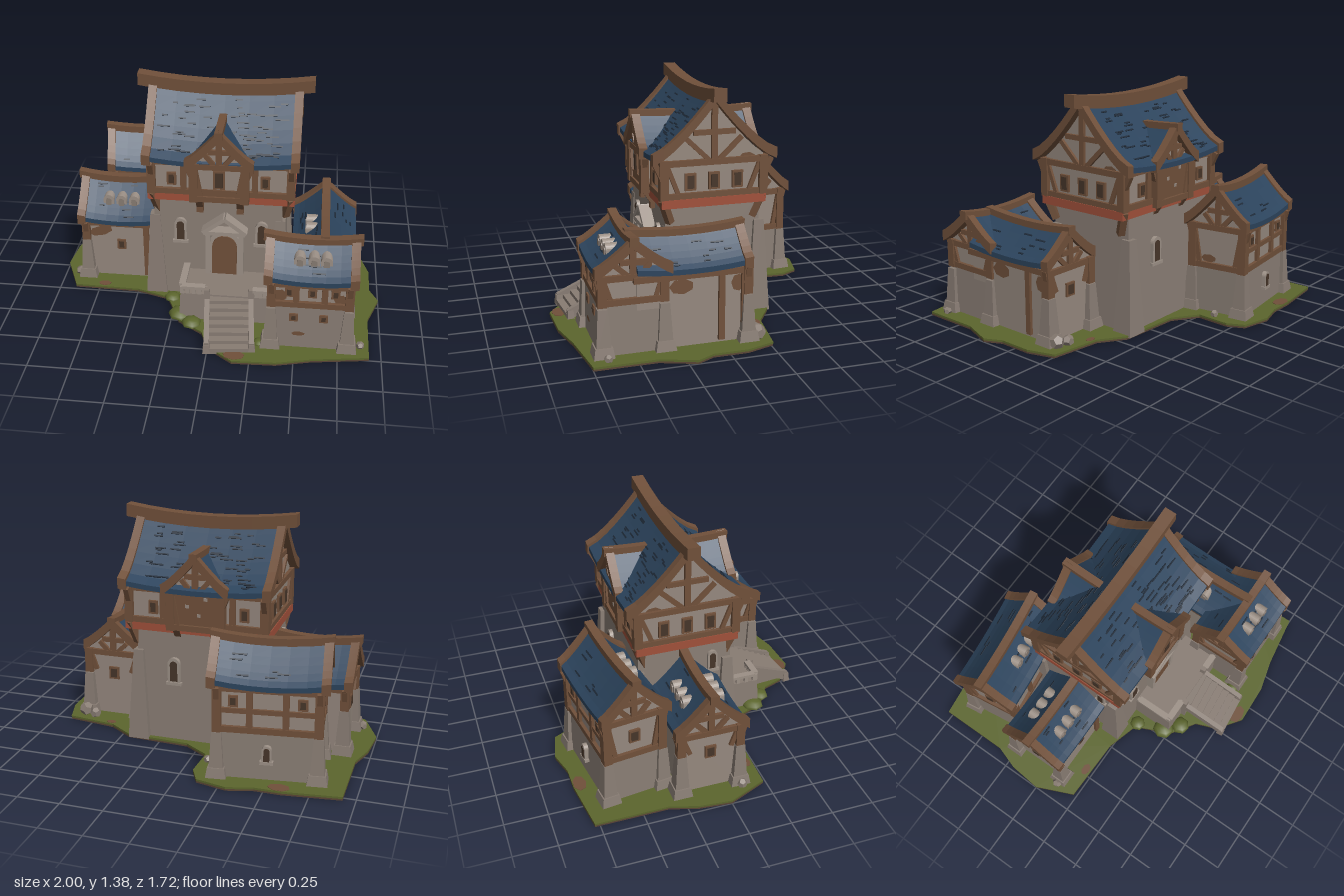
import * as THREE from 'three';

const mat = (name, color) => Object.assign(new THREE.MeshStandardMaterial({ color }), { name });
const M = {
  plaster: mat('plaster', 0x95887e), stone: mat('stone', 0x887c73), pale: mat('pale stone', 0x9c9086),
  roof: mat('blue slate', 0x2c445d), slate: mat('dark slate', 0x1e2a38), wood: mat('timber', 0x70503a),
  dark: mat('dark opening', 0x463529), red: mat('red band', 0xa0503a), grass: mat('grass', 0x5c662d),
  soil: mat('soil', 0x5a4536),
};
let seed = 7;
const rnd = () => (seed = (seed * 16807) % 2147483647) / 2147483647;

function add(parent, name, geo, material, x = 0, y = 0, z = 0) {
  const m = new THREE.Mesh(geo, material);
  m.name = name;
  m.position.set(x, y, z);
  parent.add(m);
  return m;
}
const box = (p, name, m, w, h, d, x, y, z) => add(p, name, new THREE.BoxGeometry(w, h, d), m, x, y, z);

// Straight timber between two points
function beam(p, name, m, a, b, w, h = w) {
  const A = new THREE.Vector3(...a), B = new THREE.Vector3(...b);
  const mesh = add(p, name, new THREE.BoxGeometry(w, h, A.distanceTo(B)), m);
  mesh.position.copy(A).add(B).multiplyScalar(0.5);
  mesh.quaternion.setFromRotationMatrix(new THREE.Matrix4().lookAt(B, A, new THREE.Vector3(0, 1, 0)));
}
// Box whose vertices are moved by a rule, kept flat shaded
function bent(w, h, d, segs, rule) {
  const g = new THREE.BoxGeometry(w, h, d, ...segs).toNonIndexed();
  const p = g.attributes.position;
  for (let i = 0; i < p.count; i++) p.setXYZ(i, ...rule(p.getX(i), p.getY(i), p.getZ(i)));
  g.computeVertexNormals();
  return g;
}
// Battered block: narrower at the top
const batter = (p, name, m, w, h, d, x, y, z, inset) => add(p, name, bent(w, h, d, [1, 1, 1], (a, b, c) => {
  const k = inset * (b / h + 0.5);
  return [a - Math.sign(a) * k, b, c - Math.sign(c) * k];
}), m, x, y + h / 2, z);

function archGeo(w, h, d) {
  const s = new THREE.Shape(), r = w / 2;
  s.moveTo(-r, 0); s.lineTo(r, 0); s.lineTo(r, h - r);
  s.absarc(0, h - r, r, 0, Math.PI, false);
  s.lineTo(-r, 0);
  return new THREE.ExtrudeGeometry(s, { depth: d, bevelEnabled: false, curveSegments: 6 });
}
// Square window facing local +z
function win(p, x, y, z, rot = 0, w = 0.055, h = 0.075) {
  const g = new THREE.Group();
  g.name = 'window';
  g.position.set(x, y, z);
  g.rotation.y = rot;
  box(g, 'windowFrame', M.wood, w + 0.02, h + 0.02, 0.02, 0, 0, 0);
  box(g, 'windowPane', M.dark, w - 0.005, h - 0.005, 0.006, 0, 0, 0.011);
  p.add(g);
}
// Arched window facing local +z, from its sill
function archWin(p, x, y, z, rot = 0, w = 0.075, h = 0.16) {
  const g = new THREE.Group();
  g.name = 'archedWindow';
  g.position.set(x, y, z);
  g.rotation.y = rot;
  add(g, 'archFrame', archGeo(w, h, 0.03), M.pale, 0, 0, -0.015);
  add(g, 'archPane', archGeo(w * 0.6, h * 0.78, 0.006), M.dark, 0, h * 0.1, 0.012);
  box(g, 'archSill', M.pale, w + 0.02, 0.018, 0.04, 0, 0, 0);
  p.add(g);
}
// Patch where the plaster has fallen away
function bare(p, x, y, z, rot, sx, sy, tilt = 0) {
  const m = add(p, 'barePlaster', new THREE.CircleGeometry(1, 7).rotateZ(0.4).scale(sx, sy, 1).rotateZ(tilt), M.wood, x, y, z);
  m.rotation.y = rot;
}

// Gabled timber house: ridge along local x, centred on z = 0
function wing(root, o) {
  const g = new THREE.Group();
  g.name = o.name;
  g.position.set(o.x, 0, o.z);
  g.rotation.y = o.rot || 0;
  root.add(g);
  const { len, half, eave, ridge, base, wl, wh, ends = [-1, 1] } = o;
  const prof = t => eave + (ridge - eave) * Math.pow(Math.max(0, 1 - t), o.curve || 1.2);
  const sag = x => (o.sag || 0.02) * Math.pow(2 * x / len, 2);
  const slab = (w, t, cx, lift, ext) => bent(w, t, 2, [6, 1, 12], (x, y, z) =>
    [x + cx, y + lift + prof(Math.abs(z)) + sag(x + cx), z * half * ext]);

  // Walls with gables following the roof curve
  const s = new THREE.Shape();
  s.moveTo(-wh, base); s.lineTo(wh, base);
  for (let i = 6; i >= -6; i--) s.lineTo(wh * i / 6, prof(Math.abs(wh * i / 6 / half)));
  s.lineTo(-wh, base);
  const body = new THREE.ExtrudeGeometry(s, { depth: wl, bevelEnabled: false });
  body.translate(0, 0, -wl / 2).rotateY(Math.PI / 2);
  add(g, 'walls', body, M.plaster);

  // Roof, bargeboards and sagging ridge beam
  add(g, 'roof', slab(len, 0.03, 0, 0.008, 1), M.roof);
  for (const k of ends) add(g, 'bargeboard', slab(0.05, 0.065, k * len / 2, 0.004, 1.03), M.wood);
  const rl = o.ridgeLen || len + 0.08, rb = o.ridgeBeam || 0.05;
  add(g, 'ridgeBeam', bent(rl, rb, rb, [8, 1, 1], (x, y, z) => [x, y + ridge + 0.012 + sag(x), z]), M.wood);

  // Loose slates on both slopes
  for (let i = 0; i < (o.slates || 0); i++) {
    const t = 0.15 + 0.75 * rnd(), k = i % 2 ? 1 : -1, x = (rnd() - 0.5) * (len - 0.16);
    const m = box(g, 'slate', M.slate, 0.03 + 0.05 * rnd(), 0.008, 0.009, x, prof(t) + sag(x) + 0.024, k * t * half);
    m.rotation.x = k * Math.atan2(prof(t - 0.05) - prof(t + 0.05), 0.1 * half);
  }

  // Half timbering
  const top = prof(wh / half) - 0.03, e = 0.035;
  const framed = o.stoneTop || base > 0.1, mid = o.stoneTop || (framed ? base + 0.02 : top - 0.12);
  const foot = framed ? mid : 0.04;
  for (const k of [-1, 1]) {
    const z = k * (wh + 0.003);
    box(g, 'eaveRail', M.wood, wl + 0.04, e, e, 0, top, z);
    if (framed) box(g, 'lowerRail', M.wood, wl + 0.04, e, e, 0, mid, z);
    for (const x of o.posts || []) box(g, 'wallPost', M.wood, e, top - foot, 0.03, x, (top + foot) / 2, z);
  }
  for (const k of ends) {
    const gx = k * (wl / 2 + 0.003), h = ridge - top, c = top + h * 0.5;
    box(g, 'gableTie', M.wood, e, e, wh * 2, gx, top, 0);
    if (framed) box(g, 'gableSill', M.wood, e, e, wh * 2, gx, mid, 0);
    box(g, 'kingPost', M.wood, 0.03, h, e, gx, top + h / 2, 0);
    beam(g, 'gableCollar', M.wood, [gx, c, -wh * 0.42], [gx, c, wh * 0.42], 0.03);
    for (const j of [-1, 1]) {
      box(g, 'cornerPost', M.wood, 0.05, top - mid + 0.04, 0.05, k * wl / 2, (top + mid) / 2, j * wh);
      beam(g, 'gableBrace', M.wood, [gx, top, j * 0.02], [gx, top + h * 0.4, j * wh * 0.55], 0.028);
      beam(g, 'wallBrace', M.wood, [gx, mid, j * wh * 0.7], [gx, top, j * wh * 0.95], 0.026);
      beam(g, 'eaveBracket', M.wood, [k * wl / 2, top - 0.1, j * wh], [k * wl / 2, prof(0.97), j * half * 0.97], 0.03);
    }
  }
  // Lower masonry and corner plinths
  if (o.stoneTop) batter(g, 'lowerWall', M.stone, wl + 0.04, o.stoneTop - 0.02, wh * 2 + 0.04, 0, 0.01, 0, 0.012);
  if (base < 0.1) for (const i of ends) for (const j of [-1, 1]) {
    batter(g, 'cornerPier', M.stone, 0.09, 0.28, 0.09, i * wl / 2, 0.01, j * wh, 0.018);
    batter(g, 'cornerPlinth', M.stone, 0.12, 0.07, 0.12, i * wl / 2, 0.01, j * wh, 0.012);
  }
  // Small stone roof lights
  for (const [k, xs] of o.lights || []) for (const x of xs) {
    const r = new THREE.Group();
    r.name = 'roofLight';
    r.position.set(x, prof(0.5) - 0.03, k * half * 0.58);
    if (k < 0) r.rotation.y = Math.PI;
    add(r, 'lightHood', archGeo(0.066, 0.1, 0.1), M.pale, 0, 0, -0.1);
    add(r, 'lightPane', archGeo(0.034, 0.06, 0.006), M.stone, 0, 0.02, 0);
    g.add(r);
  }
  return g;
}

export function createModel() {
  const root = new THREE.Group();
  root.name = 'manorHouse';

  // Ground slab
  const edge = [[-.93, -.78], [-.6, -.82], [-.45, -.82], [-.3, -.86], [-.12, -.82], [-.07, -.72], [-.08, -.52], [.07, -.42],
    [.45, -.4], [.6, -.3], [.9, -.26], [.95, -.1], [.95, .1], [1, .2], [.93, .4], [.93, .75], [.6, .8], [.4, .85], [.15, .86],
    [0, .75], [-.05, .62], [-.2, .52], [-.3, .3], [-.5, .24], [-.9, .23], [-1, 0], [-.98, -.2], [-.93, -.35]];
  const land = new THREE.Shape(edge.map(([x, z]) => new THREE.Vector2(x, -z)));
  const slab = d => new THREE.ExtrudeGeometry(land, { depth: d, bevelEnabled: false }).rotateX(-Math.PI / 2);
  add(root, 'soil', slab(0.01), M.soil);
  add(root, 'grass', slab(0.012), M.grass, 0, 0.01, 0);
  for (const [x, z, r] of [[.16, .81, .04], [-.58, -.78, .04], [-.72, .2, .025], [.62, -.27, .02]])
    add(root, 'earthPatch', new THREE.CylinderGeometry(r, r, 0.004, 7), M.wood, x, 0.022, z).scale.x = 1.6;
  for (const [x, z, r] of [[-.2, .46, .07], [-.12, .54, .06], [-.27, .3, .05], [.3, .68, .04]])
    add(root, 'grassMound', new THREE.SphereGeometry(r, 7, 4, 0, Math.PI * 2, 0, Math.PI / 2), M.grass, x, 0.02, z).scale.y = 0.6;

  // Stone tower base, buttresses and red band
  batter(root, 'towerBase', M.stone, 0.82, 0.7, 0.62, 0.005, 0.01, -0.07, 0.03);
  for (const x of [-0.375, 0.38]) for (const z of [-0.35, 0.19])
    batter(root, 'buttress', M.stone, 0.13, 0.56, 0.13, x, 0.01, z, 0.035);
  box(root, 'redBand', M.red, 0.87, 0.05, 0.62, 0.025, 0.72, -0.06);

  // Upper storey under the great roof
  const main = wing(root, { name: 'greatHall', x: 0.025, z: -0.06, len: 0.86, half: 0.355, eave: 0.95, ridge: 1.29, base: 0.74,
    wl: 0.82, wh: 0.295, ridgeLen: 1.04, ridgeBeam: 0.075, sag: 0.028, curve: 1.35, slates: 130, posts: [-.22, .2] });
  for (const k of [-1, 1]) {
    for (const z of [-0.14, 0, 0.14]) win(main, k * 0.415, 0.84, z, k * Math.PI / 2, 0.045, 0.08);
    for (const x of [-0.29, 0.26]) win(main, x, 0.84, k * 0.3, k > 0 ? 0 : Math.PI, 0.035, 0.06);
    for (const j of [-1, 1]) beam(main, 'jettyBracket', M.wood, [k * 0.38, 0.6, j * 0.25], [k * 0.41, 0.74, j * 0.3], 0.04);
    bare(main, k * 0.412, 0.96, -0.2, k * Math.PI / 2, 0.05, 0.03);
  }

  // Cross gable forming front and back dormers
  const dormer = wing(root, { name: 'dormers', x: 0.02, z: -0.05, rot: Math.PI / 2, len: 0.69, half: 0.195, eave: 0.95, ridge: 1.145,
    base: 0.72, wl: 0.66, wh: 0.15, ridgeLen: 0.76, ridgeBeam: 0.045, sag: 0.01 });
  win(dormer, -0.335, 0.87, 0, -Math.PI / 2, 0.05, 0.1);
  box(dormer, 'dormerApron', M.wood, 0.02, 0.07, 0.3, -0.328, 0.765, 0);
  box(dormer, 'backPanel', M.wood, 0.012, 0.24, 0.3, 0.328, 0.85, 0);
  for (const [y, z] of [[.92, -.06], [.87, .05], [.82, -.02], [.95, .04]])
    box(dormer, 'plasterSpot', M.plaster, 0.008, 0.02, 0.022, 0.333, y, z);
  for (const k of [-1, 1]) for (const z of [-0.12, 0.12]) {
    beam(dormer, 'dormerBracket', M.wood, [k * 0.25, 0.63, z], [k * 0.32, 0.73, z], 0.04);
    box(dormer, 'dormerStrut', M.wood, 0.04, 0.13, 0.04, k * 0.27, 0.68, z);
  }

  // Left wing
  const left = wing(root, { name: 'leftWing', x: -0.63, z: -0.08, len: 0.46, half: 0.21, eave: 0.42, ridge: 0.625, base: 0.01,
    wl: 0.42, wh: 0.175, ends: [-1], ridgeLen: 0.54, posts: [.17], slates: 14,
    lights: [[1, [-.07, .01, .09]], [-1, [-.07, .01, .09]]] });
  win(left, 0.01, 0.26, 0.175, 0, 0.035, 0.05);
  win(left, -0.212, 0.28, 0, -Math.PI / 2, 0.045, 0.06);
  bare(left, -0.12, 0.35, 0.178, 0, 0.08, 0.035, 0.3);

  // Back wing, set slightly askew
  const back = wing(root, { name: 'backWing', x: -0.47, z: -0.53, rot: 0.13, len: 0.62, half: 0.2, eave: 0.555, ridge: 0.755,
    base: 0.01, wl: 0.56, wh: 0.165, stoneTop: 0.31, ridgeLen: 0.68, sag: 0.025, posts: [-.1, .1], slates: 14,
    lights: [[1, [-.06, .02, .1]]] });
  box(back, 'middleRail', M.wood, 0.56, 0.028, 0.028, 0, 0.42, -0.166);
  for (const x of [-0.19, 0.19]) win(back, x, 0.475, -0.168, Math.PI, 0.035, 0.045);
  archWin(back, 0, 0.13, -0.187, Math.PI, 0.055, 0.1);
  win(back, -0.285, 0.43, 0, -Math.PI / 2, 0.045, 0.06);
  bare(back, 0.283, 0.35, 0.06, Math.PI / 2, 0.05, 0.025);

  // Front wing
  const front = wing(root, { name: 'frontWing', x: 0.58, z: 0.505, len: 0.48, half: 0.205, eave: 0.465, ridge: 0.62, base: 0.01,
    wl: 0.44, wh: 0.17, stoneTop: 0.32, posts: [-.08, .08], slates: 14, ridgeLen: 0.56, lights: [[1, [-.07, .01, .08]]] });
  for (const x of [-0.12, 0.01, 0.14]) win(front, x, 0.4, 0.173, 0, 0.03, 0.04);
  for (const x of [-0.09, 0.08]) win(front, x, 0.23, 0.18, 0, 0.03, 0.03);
  bare(front, -0.17, 0.37, 0.173, 0, 0.04, 0.04);
  bare(front, 0.17, 0.36, 0.173, 0, 0.04, 0.035);
  bare(front, -0.06, 0.12, 0.192, 0, 0.04, 0.015);
  bare(front, 0.223, 0.39, -0.13, Math.PI / 2, 0.04, 0.07);
  bare(front, 0.223, 0.52, -0.06, Math.PI / 2, 0.05, 0.03);

  // Right wing, running back from the front wing
  const right = wing(root, { name: 'rightWing', x: 0.645, z: 0.175, rot: Math.PI / 2, len: 0.62, half: 0.19, eave: 0.45, ridge: 0.61,
    base: 0.01, wl: 0.62, wh: 0.165, ends: [1], ridgeLen: 0.68, posts: [.16, .29], slates: 18, lights: [[-1, [-.07, .02]]] });
  win(right, 0.312, 0.3, 0, Math.PI / 2, 0.045, 0.06);
  bare(root, 0.8125, 0.37, 0.24, Math.PI / 2, 0.07, 0.045);
  bare(root, 0.8125, 0.36, -0.08, Math.PI / 2, 0.04, 0.05);

  // Arched openings in the tower
  for (const x of [-0.22, 0.27]) archWin(root, x, 0.4, 0.222);
  archWin(root, 0.16, 0.38, -0.366, Math.PI);
  archWin(root, -0.382, 0.5, 0.1, -Math.PI / 2, 0.06, 0.13);

  // Entrance porch
  const porch = new THREE.Group();
  porch.name = 'entrance';
  porch.position.set(0.05, 0.2, 0.23);
  root.add(porch);
  add(porch, 'doorSurround', archGeo(0.2, 0.3, 0.05), M.pale, 0, 0, -0.02);
  add(porch, 'door', archGeo(0.15, 0.27, 0.008), M.wood, 0, 0, 0.03);
  for (const k of [-1, 1]) {
    box(porch, 'doorPillar', M.pale, 0.03, 0.29, 0.05, k * 0.1, 0.145, 0.02);
    beam(porch, 'pediment', M.pale, [k * 0.13, 0.3, 0.02], [0, 0.4, 0.02], 0.08, 0.025);
  }
  box(porch, 'lintel', M.pale, 0.25, 0.025, 0.08, 0, 0.3, 0.02);

  // Terrace, balustrades and steps
  batter(root, 'terrace', M.stone, 0.58, 0.19, 0.34, 0.09, 0.01, 0.33, 0.01);
  const rail = (a, b) => {
    beam(root, 'balustradeRail', M.pale, [a[0], 0.245, a[1]], [b[0], 0.245, b[1]], 0.04, 0.018);
    for (let i = 0; i <= 4; i++)
      box(root, 'baluster', M.pale, 0.022, 0.045, 0.022, a[0] + (b[0] - a[0]) * i / 4, 0.22, a[1] + (b[1] - a[1]) * i / 4);
  };
  rail([-0.18, 0.48], [-0.04, 0.48]);
  rail([-0.18, 0.25], [-0.18, 0.47]);
  rail([0.24, 0.48], [0.34, 0.48]);
  const stairs = new THREE.Group();
  stairs.name = 'stairs';
  stairs.position.set(0.1, 0, 0.48);
  stairs.rotation.y = 0.1;
  root.add(stairs);
  for (let i = 0; i < 7; i++) {
    const h = 0.18 - i * 0.024;
    box(stairs, 'step', M.stone, 0.23, h, 0.046, 0, 0.01 + h / 2, 0.023 + i * 0.044);
  }
  for (const k of [-1, 1]) {
    beam(stairs, 'stairWall', M.stone, [k * 0.13, 0.17, 0], [k * 0.13, 0.05, 0.29], 0.03, 0.06);
    batter(stairs, 'stairPost', M.stone, 0.045, 0.06, 0.045, k * 0.13, 0.01, 0.29, 0.006);
    batter(stairs, 'upperPost', M.stone, 0.045, 0.24, 0.045, k * 0.13, 0.01, 0.01, 0.006);
  }

  // Loose rocks
  for (const [x, z, r] of [[.82, -.2, .045], [.75, -.22, .035], [.88, .66, .025], [-.9, .1, .03], [-.12, -.6, .025]])
    add(root, 'rock', new THREE.DodecahedronGeometry(r), M.stone, x, r + 0.01, z).rotation.y = x * 9;

  return root;
}
